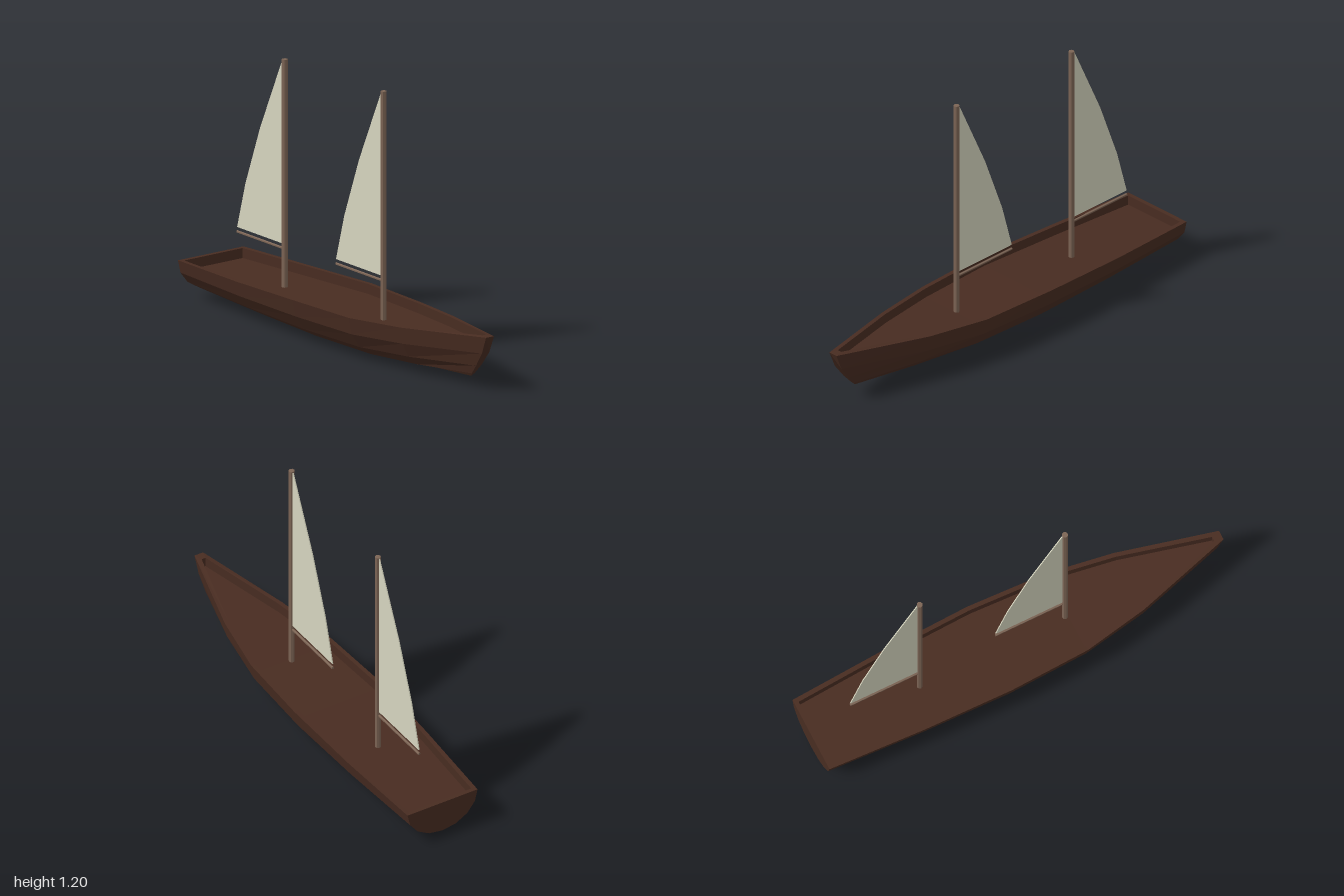
import * as THREE from 'three';

const paint = (color, side = THREE.FrontSide) =>
  new THREE.MeshStandardMaterial({ color, flatShading: true, side });

const HULL = 0x482c21, WOOD = 0x7d6555, SAIL = 0xd6d5bf;
const STEPS = 8;          // facets around the hull section
const DECK_DROP = 0.045;  // deck below the gunwale

// Hull stations: z, half beam, gunwale height, keel height, rake at the keel
const STATIONS = [
  [-1.0, 0.18, 0.182, 0.03, 0],
  [-0.55, 0.205, 0.193, 0.015, 0],
  [-0.13, 0.217, 0.208, 0.005, 0],
  [0.25, 0.2, 0.211, 0.01, 0],
  [0.55, 0.147, 0.227, 0.03, 0],
  [1.0, 0.022, 0.262, 0.055, 0.135],
];

// One closed section: half ellipse outside, then inner rim and deck edge
function section([z, beam, top, keel, rake], i) {
  const pts = [];
  for (let k = 0; k <= STEPS; k++) {
    const a = (Math.PI * k) / STEPS, s = Math.sin(a);
    pts.push([beam * Math.cos(a), top - (top - keel) * s, z - rake * Math.pow(Math.max(s, 0), 1.5)]);
  }
  const last = i === STATIONS.length - 1;
  const zi = i === 0 ? z + 0.02 : last ? z - 0.04 : z;
  const xi = last ? 0.01 : beam - 0.02;
  const deck = top - DECK_DROP;
  pts.push([-xi, top, zi], [-xi, deck, zi], [xi, deck, zi], [xi, top, zi]);
  return pts;
}

function hullGeometry() {
  const rows = STATIONS.map(section);
  const pos = [];
  const tri = (a, b, c) => pos.push(...a, ...b, ...c);
  const quad = (a, b, c, d) => { tri(a, b, c); tri(a, c, d); };
  const n = rows[0].length;

  // Planking, gunwale, bulwark and deck lofted between stations
  for (let i = 0; i < rows.length - 1; i++) {
    for (let j = 0; j < n; j++) {
      const k = (j + 1) % n;
      quad(rows[i][j], rows[i + 1][j], rows[i + 1][k], rows[i][k]);
    }
  }

  // Transom and stem: outer cap, rim across the end, inner wall
  [rows[0], rows[rows.length - 1]].forEach((r, end) => {
    const face = (...p) => {
      if (end) p.reverse();
      for (let k = 1; k < p.length - 1; k++) tri(p[0], p[k], p[k + 1]);
    };
    face(...r.slice(0, STEPS + 1));
    face(r[0], r[STEPS], r[9], r[12]);
    face(r[12], r[9], r[10], r[11]);
  });

  const g = new THREE.BufferGeometry();
  g.setAttribute('position', new THREE.Float32BufferAttribute(pos, 3));
  g.computeVertexNormals();
  return g;
}

function addMesh(parent, name, geometry, material) {
  const mesh = new THREE.Mesh(geometry, material);
  mesh.name = name;
  parent.add(mesh);
  return mesh;
}

// Mast with its boom and sail trailing toward the stern
function createRig(name, z, foot, top, boomY) {
  const rig = new THREE.Group();
  rig.name = name;
  rig.position.z = z;

  const mast = addMesh(rig, 'mast', new THREE.CylinderGeometry(0.0135, 0.0135, top - foot, 8), paint(WOOD));
  mast.position.y = (top + foot) / 2;

  const boom = addMesh(rig, 'boom', new THREE.CylinderGeometry(0.006, 0.006, 0.335, 6), paint(WOOD));
  boom.rotation.x = Math.PI / 2;
  boom.position.set(0, boomY, -0.172);

  const outline = [[0.012, 0], [0.338, 0], [0.279, 0.21], [0.174, 0.487], [0.012, 0.838]];
  const shape = new THREE.Shape(outline.map(([x, y]) => new THREE.Vector2(x, y)));
  const cloth = new THREE.ExtrudeGeometry(shape, { depth: 0.005, bevelEnabled: false });
  cloth.translate(0, 0, -0.0025);
  cloth.rotateY(Math.PI / 2); // shape x runs aft
  const sail = addMesh(rig, 'sail', cloth, paint(SAIL, THREE.DoubleSide));
  sail.position.y = boomY + 0.021;
  return rig;
}

export function createModel() {
  const boat = new THREE.Group();
  boat.name = 'sailboat';
  addMesh(boat, 'hull', hullGeometry(), paint(HULL));
  boat.add(createRig('foreRig', 0.238, 0.16, 1.203, 0.342));
  boat.add(createRig('aftRig', -0.47, 0.145, 1.185, 0.325));
  return boat;
}
